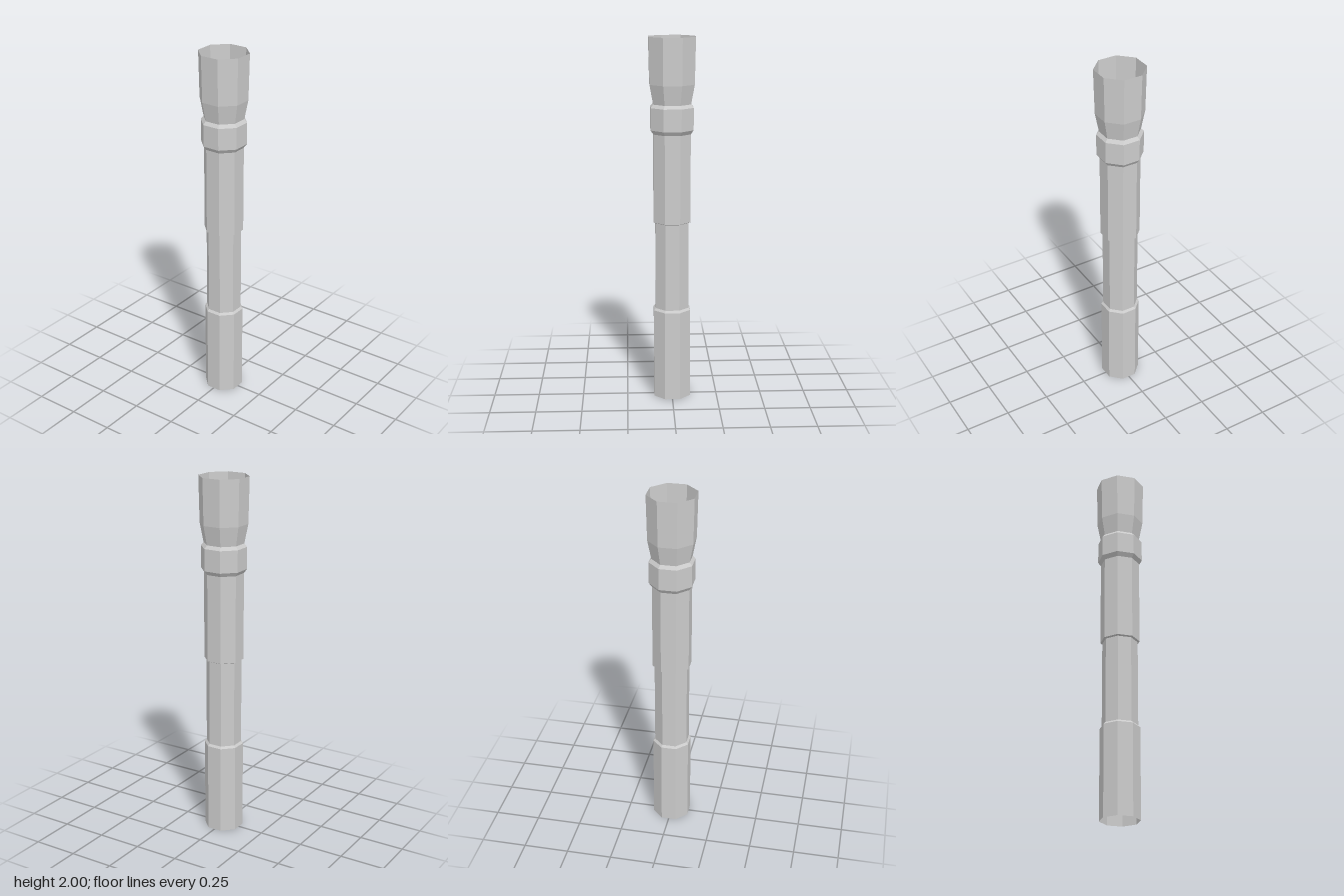
import * as THREE from 'three';

const SIDES = 8;
const material = new THREE.MeshStandardMaterial({
  color: 0xcccccc, flatShading: true, side: THREE.DoubleSide,
});

// Open eight-sided ring from [distance to flat, height] pairs, flats facing the axes
function ring(name, profile) {
  const toCorner = 1 / Math.cos(Math.PI / SIDES);
  const points = profile.map(([r, y]) => new THREE.Vector2(r * toCorner, y));
  const geometry = new THREE.LatheGeometry(points, SIDES, Math.PI / SIDES);
  const mesh = new THREE.Mesh(geometry, material);
  mesh.name = name;
  return mesh;
}

export function createModel() {
  const model = new THREE.Group();
  model.name = 'hollowHandle';
  model.add(
    // Wide lower tube with a small shoulder on top
    ring('lowerGrip', [[0.1, 0], [0.1, 0.503], [0.09, 0.515]]),
    // Narrow middle tube
    ring('middleTube', [[0.09, 0.515], [0.09, 0.998]]),
    // Upper tube with its lower lip
    ring('upperGrip', [[0.09, 0.998], [0.1, 1.003], [0.1, 1.485]]),
    // Bevelled collar
    ring('collar', [[0.1, 1.485], [0.115, 1.507], [0.115, 1.627], [0.101, 1.645]]),
    // Flared open mouth
    ring('flaredMouth', [[0.101, 1.645], [0.12, 1.75], [0.125, 2]]),
  );
  return model;
}
